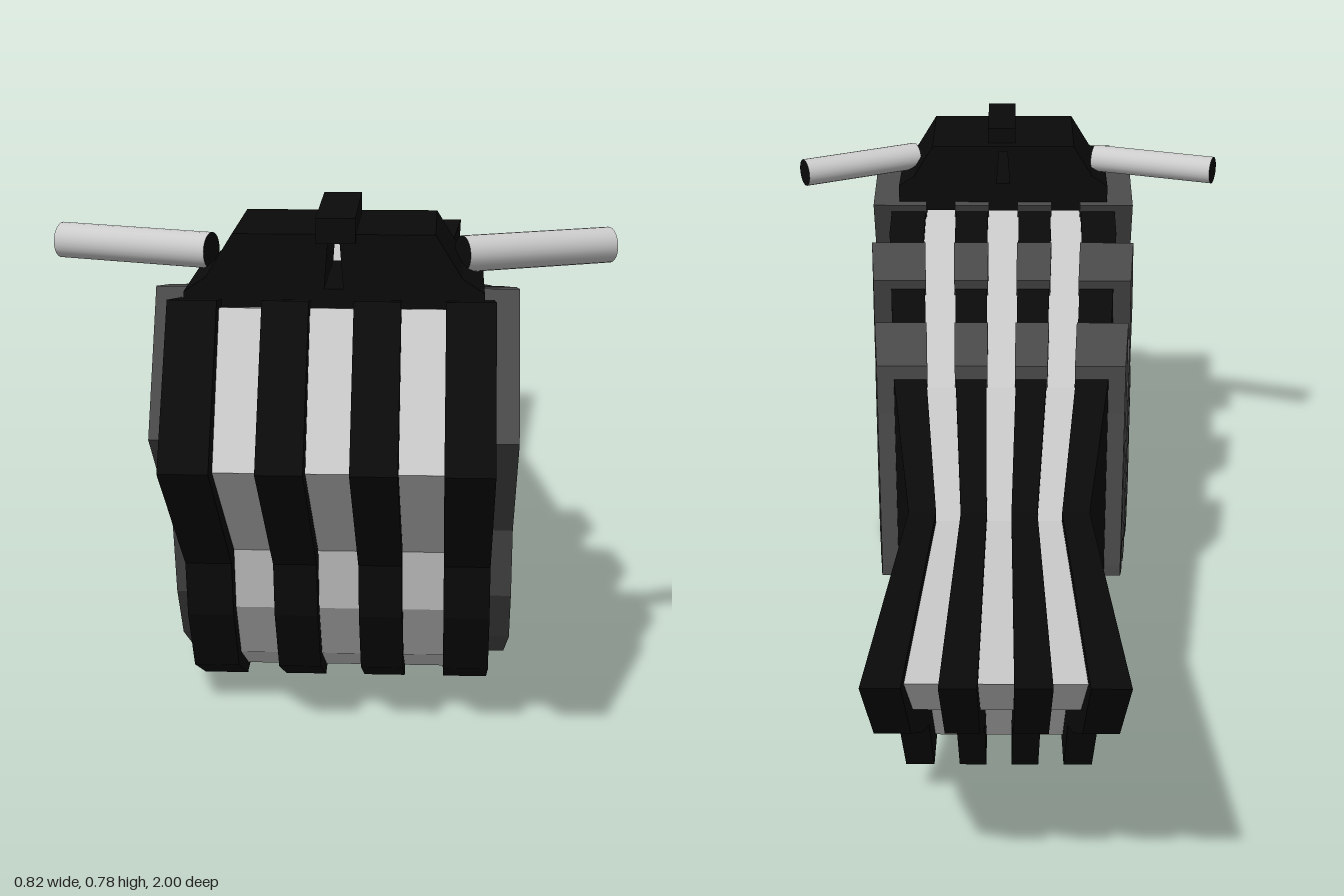
import * as THREE from 'three';

const CX = 0.01; // centre line of the hull
const mat = (color) => new THREE.MeshStandardMaterial({ color, flatShading: true });
const black = mat(0x0a0a0a), dark = mat(0x4a4a4a), light = mat(0xcccccc);

// Stations along z where the hull width changes: [z, width factor]
const stations = [[1.1, 1], [0.5, 1], [0, 0.85], [-0.45, 0.64], [-1.1, 0.85]];

// Keep the part of a (z, y) outline where sign * (z - limit) >= 0
function clip(points, limit, sign) {
  const out = [];
  points.forEach((a, i) => {
    const b = points[(i + 1) % points.length];
    const da = sign * (a[0] - limit), db = sign * (b[0] - limit);
    if (da >= 0) out.push(a);
    if (da * db < 0) {
      const t = da / (da - db);
      out.push([limit, a[1] + (b[1] - a[1]) * t]);
    }
  });
  return out;
}

// Extrude a (z, y) outline from x0 to x1, tapered in width along z
function slab(name, outline, x0, x1, material) {
  const group = new THREE.Group();
  group.name = name;
  for (let i = 0; i < stations.length - 1; i++) {
    const [zA, sA] = stations[i], [zB, sB] = stations[i + 1];
    const part = clip(clip(outline, zA, -1), zB, 1);
    if (part.length < 3) continue;
    const shape = new THREE.Shape(part.map(([z, y]) => new THREE.Vector2(-z, y)));
    const geo = new THREE.ExtrudeGeometry(shape, { depth: x1 - x0, bevelEnabled: false });
    geo.rotateY(Math.PI / 2).translate(x0, 0, 0);
    const p = geo.attributes.position;
    for (let k = 0; k < p.count; k++) {
      const s = sA + (sB - sA) * (p.getZ(k) - zA) / (zB - zA);
      p.setX(k, CX + p.getX(k) * s);
    }
    geo.computeVertexNormals();
    const mesh = new THREE.Mesh(geo, material);
    mesh.name = name + 'Section';
    group.add(mesh);
  }
  return group;
}

// Side outlines as (z, y)
const plateOutline = [
  [1, 0.465], [0.87, 0.67], [0.58, 0.62], [0, 0.505], [-0.45, 0.47], [-1, 0.485],
  [-0.88, 0.34], [-0.8, 0.29], [-0.72, 0.24], [-0.62, 0.19], [-0.545, 0.07],
  [-0.44, 0.115], [-0.3, 0.12], [0, 0.135], [0.25, 0.055], [0.51, 0.003],
  [0.64, 0.065], [0.71, 0.17], [0.73, 0.255],
];
const coreOutline = [
  [0.955, 0.455], [0.845, 0.655], [0.58, 0.605], [0, 0.49], [-0.45, 0.455], [-0.96, 0.468],
  [-0.85, 0.36], [-0.7, 0.27], [-0.59, 0.21], [-0.52, 0.11],
  [-0.44, 0.135], [-0.3, 0.14], [0, 0.155], [0.25, 0.075], [0.5, 0.016],
  [0.61, 0.075], [0.675, 0.17], [0.695, 0.265],
];
const cuffOutlines = [
  [[0.72, 0.66], [0.83, 0.465], [0.6, 0.27], [0.565, 0.155], [0.5, 0.065], [0.42, 0.012],
    [0.32, 0.035], [0.43, 0.155], [0.46, 0.26], [0.66, 0.455], [0.575, 0.635]],
  [[0.43, 0.608], [0.5, 0.46], [0.36, 0.29], [0.33, 0.19], [0.25, 0.05],
    [0.15, 0.07], [0.18, 0.17], [0.2, 0.28], [0.33, 0.45], [0.29, 0.582]],
  [[0.145, 0.555], [0.17, 0.45], [0.107, 0.305], [0.08, 0.21], [0.07, 0.1],
    [-0.02, 0.13], [-0.02, 0.15], [0, 0.44], [0, 0.53]],
];

export function createModel() {
  const model = new THREE.Group();
  model.name = 'ribbedHull';

  // Recessed core showing as light strips between the plates
  model.add(slab('core', coreOutline, -0.19, 0.19, light));

  // Four plates, each wrapped by three cuffs; outer cuffs stand proud of the sides
  for (const side of [-1, 1]) {
    for (const [inner, outer, cuffOuter] of [[0.03, 0.093, 0.095], [0.153, 0.22, 0.255]]) {
      const span = (a, b) => (side > 0 ? [a, b] : [-b, -a]);
      model.add(slab('plate', plateOutline, ...span(inner, outer), black));
      for (const outline of cuffOutlines) {
        model.add(slab('cuff', outline, ...span(inner - 0.002, cuffOuter), dark));
      }
    }
  }

  // Bridge block with sloped shoulders and a slot through the middle
  const half = [[0.205, 0.62], [0.205, 0.67], [0.175, 0.69], [0.138, 0.75]];
  const bridge = new THREE.Shape([
    ...half, ...half.map(([x, y]) => [-x, y]).reverse(),
  ].map(([x, y]) => new THREE.Vector2(x, y)));
  bridge.holes.push(new THREE.Path([
    [-0.013, 0.675], [-0.008, 0.74], [0.008, 0.74], [0.013, 0.675],
  ].map(([x, y]) => new THREE.Vector2(x, y))));
  const block = new THREE.Mesh(
    new THREE.ExtrudeGeometry(bridge, { depth: 0.22, bevelEnabled: false }), black);
  block.name = 'bridgeBlock';
  block.position.set(CX, 0, 0.59);
  model.add(block);

  const ridge = new THREE.Mesh(new THREE.BoxGeometry(0.054, 0.035, 0.205), black);
  ridge.name = 'bridgeRidge';
  ridge.position.set(CX + 0.003, 0.759, 0.717);
  ridge.rotation.x = 0.03;
  model.add(ridge);

  // Two splayed rods with dark end caps
  const rodLight = new THREE.MeshStandardMaterial({ color: 0xcccccc });
  for (const [name, from, to] of [
    ['leftRod', [0.185, 0.703, 0.685], [0.398, 0.7, 0.58]],
    ['rightRod', [-0.172, 0.703, 0.672], [-0.4, 0.703, 0.59]],
  ]) {
    const a = new THREE.Vector3(...from), b = new THREE.Vector3(...to);
    const dir = b.clone().sub(a);
    const rod = new THREE.Mesh(
      new THREE.CylinderGeometry(0.026, 0.026, dir.length(), 24), [rodLight, black, black]);
    rod.name = name;
    rod.position.copy(a).add(b).multiplyScalar(0.5);
    rod.quaternion.setFromUnitVectors(new THREE.Vector3(0, 1, 0), dir.normalize());
    model.add(rod);
  }
  return model;
}
